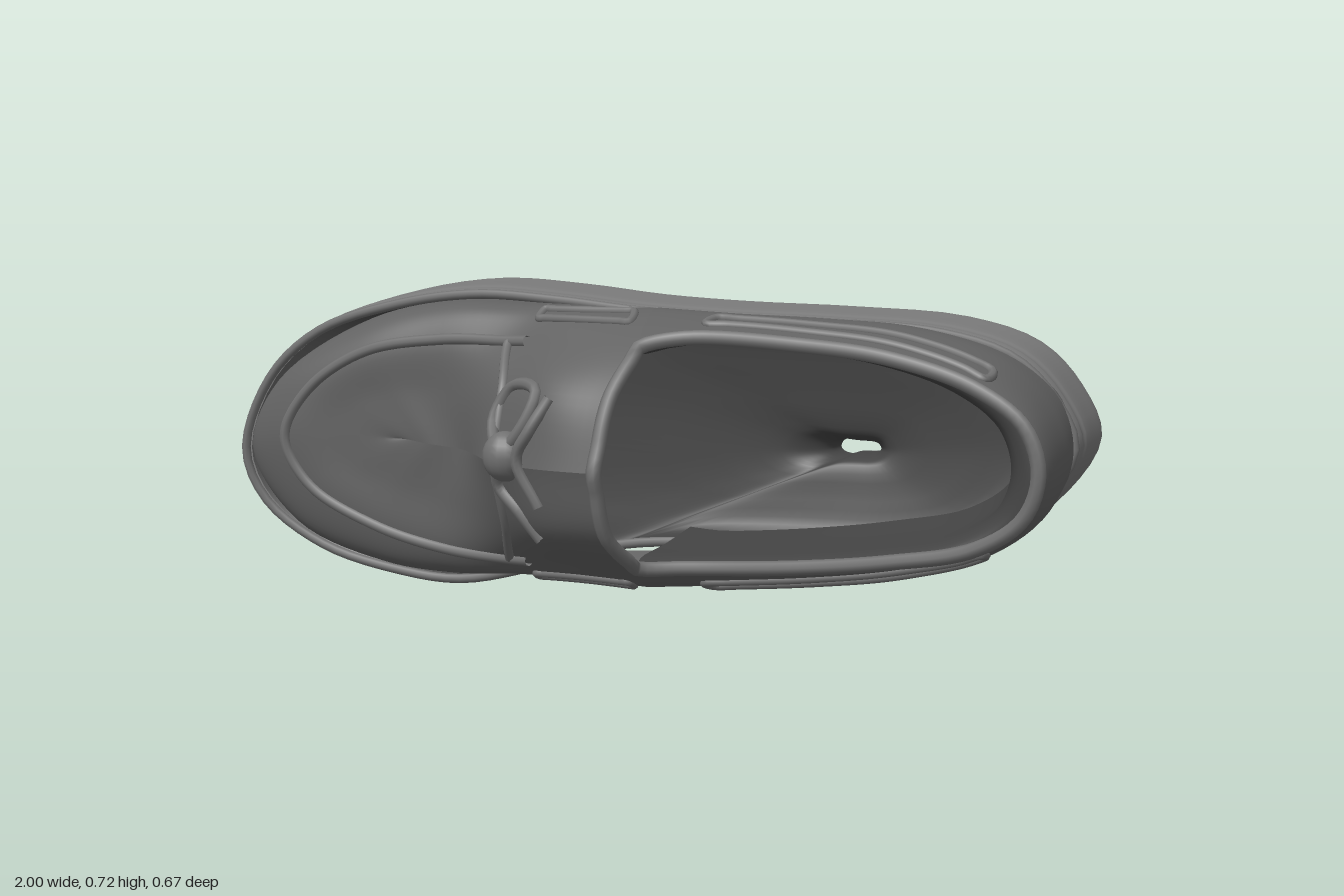
import * as THREE from 'three';

const V = (x, y, z) => new THREE.Vector3(x, y, z);
const shade = color => new THREE.MeshStandardMaterial({ color, side: THREE.DoubleSide });
const leather = shade(0x626262), rubber = shade(0x7a7a7a), trim = shade(0x707070), lining = shade(0x444444);

// Smooth surface through rows of matching control points
function surface(rows, closed = false) {
  const curves = rows.map(r => new THREE.CatmullRomCurve3(r, closed));
  return (u, v) => new THREE.CatmullRomCurve3(curves.map(c => c.getPoint(u))).getPoint(v);
}

function skin(name, mat, surf, nu, nv, closed = false) {
  const pos = [], idx = [], cols = closed ? nu : nu + 1;
  for (let i = 0; i < cols; i++)
    for (let j = 0; j <= nv; j++) pos.push(...surf(i / nu, j / nv).toArray());
  for (let i = 0; i < nu; i++)
    for (let j = 0; j < nv; j++) {
      const a = i * (nv + 1) + j, b = ((i + 1) % cols) * (nv + 1) + j;
      idx.push(a, b, b + 1, a, b + 1, a + 1);
    }
  const g = new THREE.BufferGeometry();
  g.setAttribute('position', new THREE.Float32BufferAttribute(pos, 3));
  g.setIndex(idx);
  g.computeVertexNormals();
  return named(name, mat, g);
}

function named(name, mat, geometry) {
  const m = new THREE.Mesh(geometry, mat);
  m.name = name;
  return m;
}

function tube(name, pts, r, closed = false) {
  const curve = new THREE.CatmullRomCurve3(pts, closed);
  return named(name, trim, new THREE.TubeGeometry(curve, pts.length * 5, r, 8, closed));
}

// Samples a surface along a line in its own coordinates
const trace = (surf, u0, v0, u1, v1, n = 12) => Array.from({ length: n + 1 }, (_, i) =>
  surf(u0 + (u1 - u0) * i / n, v0 + (v1 - v0) * i / n));

// Long narrow loop lying on a surface
const slot = (surf, u0, v0, u1, v1, h) =>
  [...trace(surf, u0, v0, u1, v1), ...trace(surf, u1, v1 + h, u0, v0 + h)];

const pts2 = (list, z) => list.map(([x, y]) => V(x, y, z));
const pts3 = list => list.map(p => V(...p));

// The toe end curves up away from the flat of the sole
const toe = x => Math.pow(THREE.MathUtils.clamp((-0.2 - x) / 0.8, 0, 1), 1.5);
const soleBottom = x => -0.335 + 0.085 * toe(x);
const soleTop = x => -0.125 + 0.05 * toe(x);

const outline = [
  [0.995, 0.41], [0.95, 0.52], [0.86, 0.61], [0.7, 0.66], [0.45, 0.675], [0.2, 0.68], [0, 0.69],
  [-0.2, 0.71], [-0.4, 0.72], [-0.6, 0.69], [-0.8, 0.62], [-0.93, 0.5], [-1, 0.31], [-0.95, 0.18],
  [-0.8, 0.07], [-0.6, 0.015], [-0.45, 0.003], [-0.3, 0.035], [-0.15, 0.09], [0, 0.125],
  [0.2, 0.14], [0.4, 0.145], [0.6, 0.15], [0.8, 0.19], [0.93, 0.29]];

// Outline ring scaled by k at height h; inner rings close in on a slit under the heel
const soleRing = ([k, h]) => outline.map(([x, y]) => {
  const rim = k > 0.85;
  const [cx, cy, kx] = rim ? [0, 0.38, 0.6 + 0.4 * k] : [0.495, 0.364, k];
  const px = cx + (x - cx) * kx, py = cy + (y - cy) * k;
  return V(px, py, THREE.MathUtils.lerp(soleBottom(px), soleTop(px), h));
});

// Rear quarter: low side, round the heel, to the high side
const rearBase = [
  [0.08, 0.13], [0.25, 0.145], [0.45, 0.15], [0.65, 0.165], [0.83, 0.215], [0.93, 0.3], [0.965, 0.4],
  [0.935, 0.51], [0.84, 0.59], [0.65, 0.645], [0.45, 0.66], [0.25, 0.665], [0.08, 0.67]];
const rearSide = [
  [0.08, 0.075], [0.25, 0.09], [0.45, 0.11], [0.65, 0.14], [0.83, 0.2], [0.935, 0.29], [0.97, 0.4],
  [0.94, 0.5], [0.84, 0.595], [0.65, 0.655], [0.45, 0.668], [0.25, 0.673], [0.08, 0.68]];
const rearRim = [
  [0.11, 0.15, 0.175], [0.2, 0.148, 0.13], [0.45, 0.17, 0.145], [0.65, 0.2, 0.168], [0.82, 0.24, 0.188],
  [0.92, 0.31, 0.203], [0.95, 0.4, 0.21], [0.92, 0.49, 0.203], [0.82, 0.56, 0.188], [0.65, 0.61, 0.168],
  [0.45, 0.63, 0.145], [0.2, 0.635, 0.13], [0.11, 0.615, 0.165]];

// Forefoot: low side, round the toe, to the high side
const foreBase = [
  [0.08, 0.13], [-0.08, 0.115], [-0.24, 0.085], [-0.42, 0.05], [-0.62, 0.06], [-0.85, 0.135], [-0.965, 0.31],
  [-0.89, 0.49], [-0.65, 0.64], [-0.42, 0.685], [-0.22, 0.68], [-0.08, 0.675], [0.08, 0.67]];
const foreSide = [
  [0.08, 0.075, 0], [-0.08, 0.08, 0], [-0.24, 0.075, -0.02], [-0.42, 0.065, -0.04], [-0.61, 0.08, -0.05],
  [-0.83, 0.16, -0.055], [-0.945, 0.32, -0.06], [-0.87, 0.48, -0.055], [-0.64, 0.615, -0.05],
  [-0.42, 0.665, -0.04], [-0.22, 0.67, -0.02], [-0.08, 0.675, 0], [0.08, 0.68, 0]];
const foreSeam = [
  [0.11, 0.15, 0.175], [-0.08, 0.135, 0.1], [-0.24, 0.12, 0.035], [-0.42, 0.125, 0], [-0.6, 0.165, -0.01],
  [-0.77, 0.25, -0.012], [-0.83, 0.36, -0.01], [-0.77, 0.47, -0.012], [-0.62, 0.565, -0.01],
  [-0.42, 0.6, 0], [-0.24, 0.605, 0.035], [-0.08, 0.615, 0.11], [0.11, 0.615, 0.165]];
const foreVamp = [
  [0.08, 0.235, 0.28], [-0.08, 0.22, 0.22], [-0.21, 0.22, 0.13], [-0.4, 0.24, 0.015], [-0.55, 0.27, -0.005],
  [-0.65, 0.31, -0.01], [-0.68, 0.37, -0.01], [-0.65, 0.43, -0.01], [-0.55, 0.47, -0.005],
  [-0.4, 0.48, 0.015], [-0.21, 0.51, 0.14], [-0.08, 0.52, 0.225], [0.08, 0.515, 0.26]];
const ridge = [[0.07, 0.37, 0.322], [-0.08, 0.365, 0.275], [-0.21, 0.36, 0.195], [-0.36, 0.36, 0.035],
  [-0.46, 0.365, 0.01], [-0.51, 0.37, 0], [-0.53, 0.37, -0.005]];
const foreRidge = [...ridge, ...ridge.slice(0, 6).reverse()];

export function createModel() {
  const shoe = new THREE.Group();
  shoe.name = 'shoe';

  // Sole from the slit outwards, up the tapering wall with its groove, and over the top edge
  const soleProfile = [[0.05, 0.1], [0.06, 0.04], [0.5, 0.03], [0.97, 0], [0.992, 0.01], [1, 0.08], [0.99, 0.4],
    [0.975, 0.72], [0.963, 0.78], [0.96, 0.82], [0.962, 0.87], [0.95, 0.96], [0.935, 1], [0.9, 1]];
  shoe.add(skin('sole', rubber, surface(soleProfile.map(soleRing), true), 100, 52, true));

  // Sunken insole dipping into the slit
  const insoleProfile = [[0.9, 1], [0.82, 0.75], [0.5, 0.65], [0.16, 0.58], [0.1, 0.52], [0.06, 0.35], [0.05, 0.1]];
  shoe.add(skin('insole', lining, surface(insoleProfile.map(soleRing), true), 80, 24, true));

  // Welt around the top of the sole
  shoe.add(tube('welt', outline.map(([x, y]) =>
    V(x * 0.972, 0.38 + (y - 0.38) * 0.925, soleTop(x) + 0.002)), 0.011, true));

  // Heel quarter, turning over the rim into the lining
  const inner = (k, z) => rearRim.map(p =>
    V(0.08 + (p[0] - 0.08) * k, 0.39 + (p[1] - 0.39) * k, z ?? p[2] - 0.02));
  const rear = surface([pts2(rearBase, -0.15), pts2(rearSide, 0), pts3(rearRim),
    inner(0.94), inner(0.92, 0), inner(0.88, -0.21)]);
  shoe.add(skin('heelQuarter', leather, (u, v) => rear(u, v * 0.4), 72, 14));
  shoe.add(skin('heelLining', lining, (u, v) => rear(u, 0.4 + v * 0.6), 72, 16));

  // Toe and vamp, with a lining just inside
  const fore = surface([pts2(foreBase, -0.14), pts3(foreSide), pts3(foreSeam),
    pts3(foreVamp), pts3(foreRidge)].map(r => r.reverse()));
  shoe.add(skin('vamp', leather, fore, 84, 28));
  shoe.add(skin('vampLining', lining, (u, v) => {
    const p = fore(u, 0.3 + v * 0.7);
    return V(p.x, 0.37 + (p.y - 0.37) * 0.96, p.z - 0.012);
  }, 60, 16));
  shoe.add(tube('toeSeam', trace(fore, 0.14, 0.5, 0.86, 0.5, 36), 0.013));

  // Collar around the foot opening
  const arch = [...trace(fore, 0, 0.56, 0, 1, 5), ...trace(fore, 1, 0.92, 1, 0.56, 4)];
  shoe.add(tube('collar', [...pts3(rearRim), ...arch], 0.016, true));

  // Saddle edges, eyelet slots and side laces on both sides
  for (const s of [0, 1]) {
    const m = u => (s ? 1 - u : u);
    shoe.add(tube('saddleEdge', trace(fore, m(2 / 12), 0.5, m(2 / 12), 0.97), 0.012));
    shoe.add(tube('eyeletSlot', slot(fore, m(0.14), 0.24, m(0.02), 0.27, 0.09), 0.01, true));
    shoe.add(tube('sideLace', slot(rear, m(0.08), 0.235, m(0.33), 0.28, 0.05), 0.01, true));
  }

  // Lace knot with a loop and crossing strands
  const knot = named('laceKnot', trim, new THREE.SphereGeometry(0.045, 16, 12));
  knot.position.set(-0.17, 0.38, 0.22);
  knot.scale.set(1.1, 1.2, 1);
  shoe.add(knot);
  shoe.add(tube('laceLoop', pts3([[-0.18, 0.39, 0.225], [-0.22, 0.45, 0.165], [-0.18, 0.52, 0.155],
    [-0.1, 0.52, 0.215], [-0.12, 0.45, 0.24]]), 0.014, true));
  shoe.add(tube('laceStrand', pts3([[-0.19, 0.37, 0.215], [-0.2, 0.31, 0.185], [-0.15, 0.26, 0.195],
    [-0.1, 0.2, 0.19]]), 0.015));
  shoe.add(tube('laceStrand', pts3([[-0.06, 0.51, 0.24], [-0.1, 0.44, 0.26], [-0.13, 0.38, 0.255],
    [-0.08, 0.28, 0.252]]), 0.013));
  return shoe;
}
